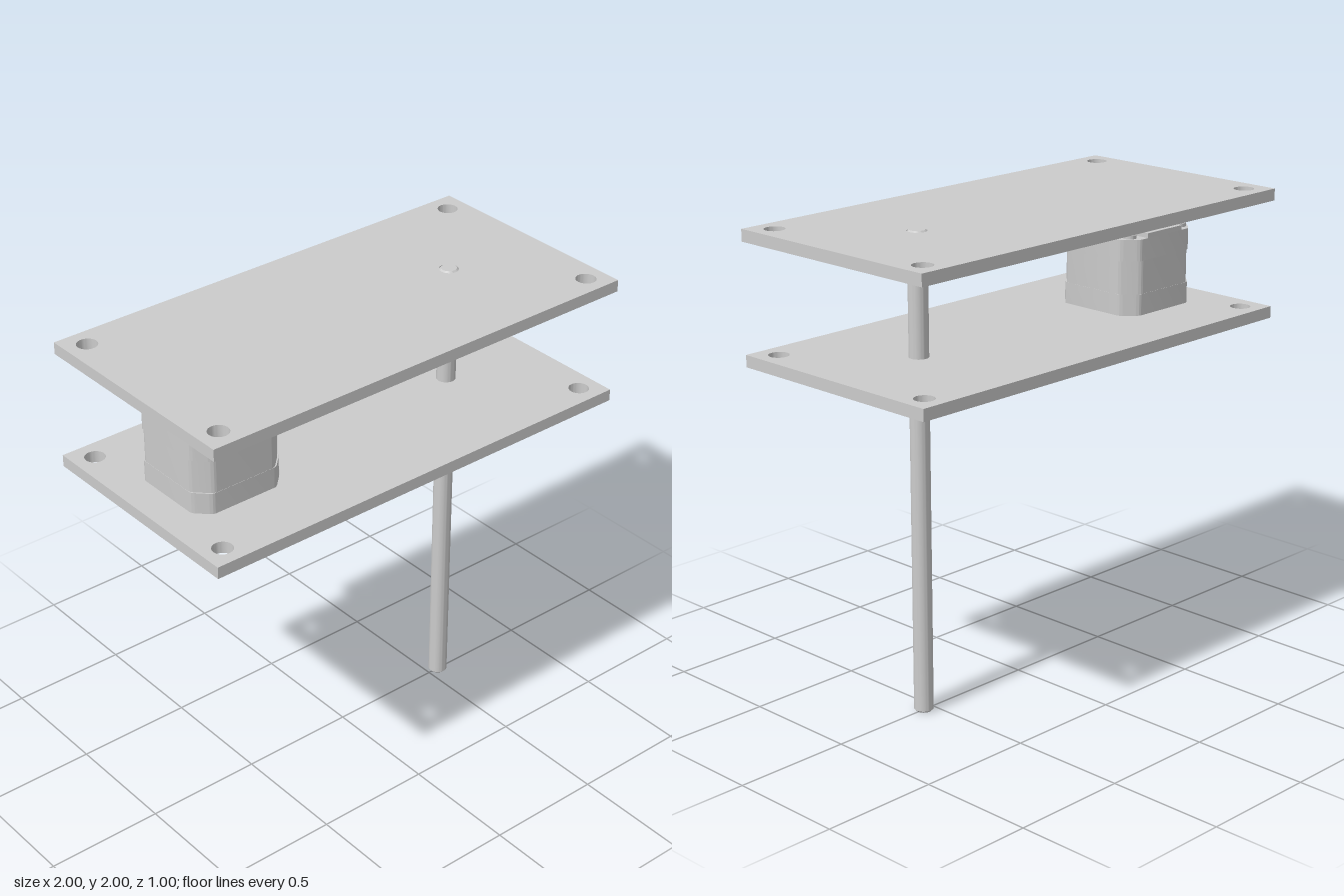
import * as THREE from 'three';
import { toCreasedNormals } from 'three/addons/utils/BufferGeometryUtils.js';

const material = new THREE.MeshStandardMaterial({ color: 0xcccccc });
const MOTOR_X = -0.65, ROD_X = 0.55, ROD_R = 0.04;

function add(parent, name, geometry, x = 0, y = 0, z = 0) {
  const mesh = new THREE.Mesh(geometry, material);
  mesh.name = name;
  mesh.position.set(x, y, z);
  parent.add(mesh);
  return mesh;
}

// Four mirrored corner positions
const corners = (x, z) => [[x, z], [-x, z], [-x, -z], [x, -z]];

function punch(shape, x, y, r) {
  const hole = new THREE.Path();
  hole.absarc(x, y, r, 0, Math.PI * 2, true);
  shape.holes.push(hole);
}

// Extrude a plan shape upwards from y = 0
function slab(shape, height) {
  const g = new THREE.ExtrudeGeometry(shape, { depth: height, bevelEnabled: false, curveSegments: 20 });
  g.rotateX(-Math.PI / 2);
  return toCreasedNormals(g, 0.5);
}

// Round bar with chamfered ends, standing on y = 0
function bar(r, height, chamfer) {
  const pts = [[0, 0], [r - chamfer, 0], [r, chamfer], [r, height - chamfer], [r - chamfer, height], [0, height]];
  const g = new THREE.LatheGeometry(pts.map(p => new THREE.Vector2(...p)), 40);
  return toCreasedNormals(g, 0.5);
}

// Square with softly rounded, chamfered corners
function motorShape(half, cut) {
  const s = new THREE.Shape(), b = half - cut, k = cut * 0.2;
  const turns = [[1, 0], [0, 1], [-1, 0], [0, -1]];
  turns.forEach(([c, n], i) => {
    const at = (x, y) => [c * x - n * y, n * x + c * y];
    if (i === 0) s.moveTo(...at(half, -b));
    s.lineTo(...at(half, b - k));
    s.quadraticCurveTo(...at(half, b), ...at(half - k, b + k));
    s.lineTo(...at(b + k, half - k));
    s.quadraticCurveTo(...at(b, half), ...at(b - k, half));
  });
  s.closePath();
  return s;
}

function plateShape() {
  const s = new THREE.Shape([[-1, -0.5], [1, -0.5], [1, 0.5], [-1, 0.5]].map(p => new THREE.Vector2(...p)));
  corners(0.91, 0.41).forEach(([x, z]) => punch(s, x, z, 0.042));
  punch(s, ROD_X, 0, ROD_R);
  return s;
}

function createMotor() {
  const motor = new THREE.Group();
  motor.name = 'motor';

  // Housing: front flange, laminated middle, rear cap
  add(motor, 'frontFlange', slab(motorShape(0.21, 0.06), 0.09));
  add(motor, 'statorBody', slab(motorShape(0.209, 0.066), 0.14), 0, 0.09);
  add(motor, 'rearHousing', slab(motorShape(0.21, 0.06), 0.09), 0, 0.23);

  // Raised cross-shaped rear cap, leaving recesses for the corner screws
  const a = 0.21, b = 0.105;
  const cross = new THREE.Shape();
  cross.moveTo(a, -b);
  cross.lineTo(a, b);
  for (const [c, n] of [[1, 0], [0, 1], [-1, 0], [0, -1]]) {
    const at = (x, y) => [c * x - n * y, n * x + c * y];
    cross.lineTo(...at(a, b));
    cross.lineTo(...at(0.15, b));
    cross.quadraticCurveTo(...at(b, b), ...at(b, 0.15));
    cross.lineTo(...at(b, a));
  }
  cross.closePath();
  punch(cross, 0, 0, 0.05);
  add(motor, 'rearCap', slab(cross, 0.02), 0, 0.32);

  // Socket-head screws in the corner recesses
  const head = new THREE.Shape();
  head.absarc(0, 0, 0.028, 0, Math.PI * 2, false);
  punch(head, 0, 0, 0.012);
  for (const [x, z] of corners(0.155, 0.155)) add(motor, 'capScrew', slab(head, 0.015), x, 0.32, z);

  // Cable socket with four pins
  const socket = new THREE.Shape([[-0.03, -0.018], [-0.018, -0.03], [0.03, -0.03], [0.03, 0.03], [-0.018, 0.03], [-0.03, 0.018]]
    .map(p => new THREE.Vector2(...p)));
  for (const [x, y] of corners(0.011, 0.011)) {
    punch(socket, x, y, 0.006);
    add(motor, 'socketPin', new THREE.BoxGeometry(0.005, 0.005, 0.006), x, 0.3 + y, 0.212);
  }
  add(motor, 'cableSocket', new THREE.ExtrudeGeometry(socket, { depth: 0.006, bevelEnabled: false }), 0, 0.3, 0.209);
  add(motor, 'socketRib', new THREE.BoxGeometry(0.006, 0.065, 0.006), 0.043, 0.3, 0.211);

  // Centring boss and output shaft below the flange
  add(motor, 'centringBoss', bar(0.11, 0.02, 0.002), 0, -0.02);
  add(motor, 'outputShaft', bar(0.025, 0.36, 0.005), 0, -0.24);
  return motor;
}

export function createModel() {
  const model = new THREE.Group();
  model.name = 'motorMount';

  add(model, 'topPlate', slab(plateShape(), 0.05), 0, 1.945);

  // Lower plate also has the boss opening and motor fixing holes
  const lower = plateShape();
  punch(lower, MOTOR_X, 0, 0.114);
  corners(0.155, 0.155).forEach(([x, z]) => punch(lower, MOTOR_X + x, z, 0.015));
  add(model, 'lowerPlate', slab(lower, 0.05), 0, 1.445);

  add(model, 'verticalRod', bar(ROD_R, 2, 0.008), ROD_X);

  const motor = createMotor();
  motor.position.set(MOTOR_X, 1.495, 0);
  model.add(motor);
  return model;
}
